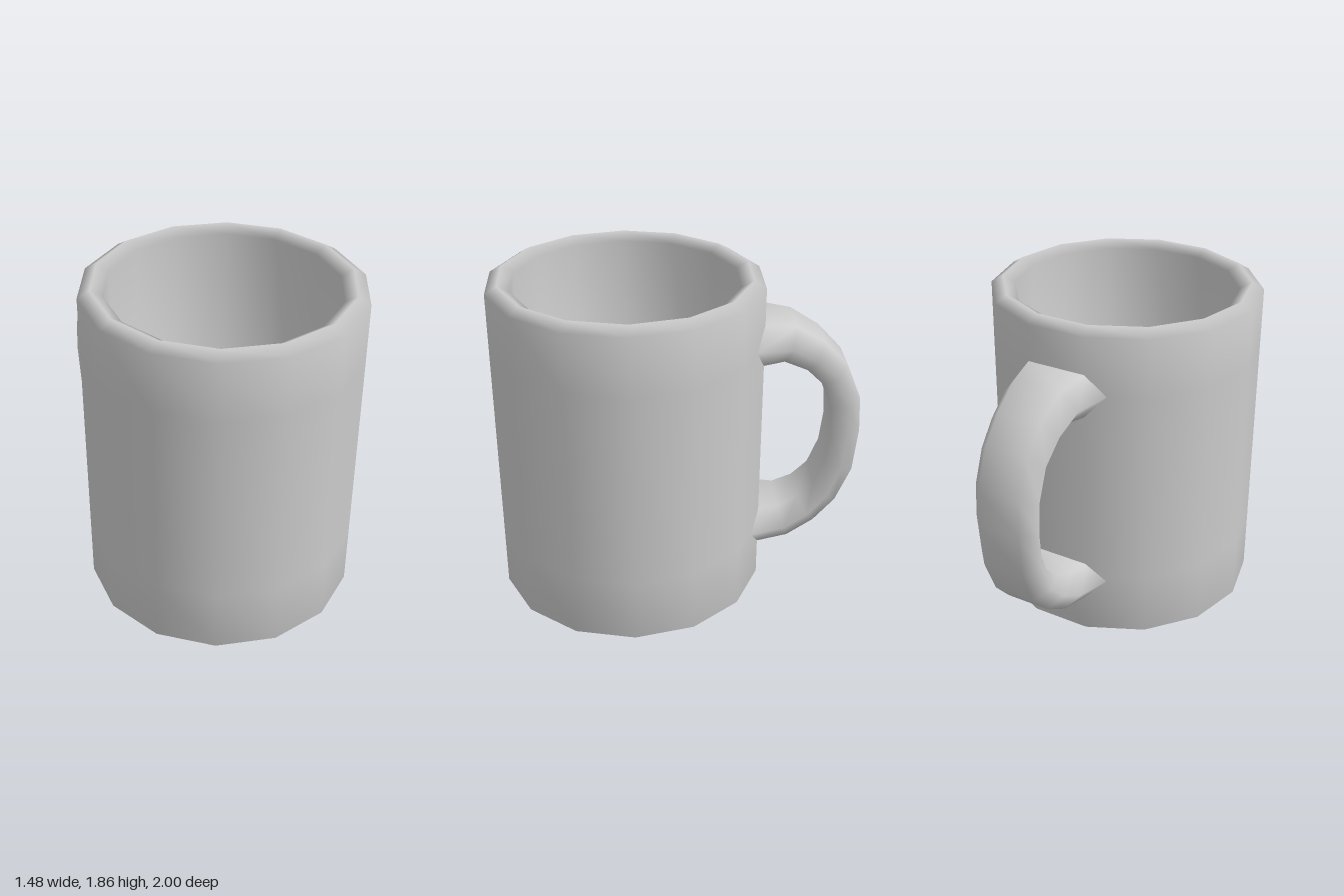
import * as THREE from 'three';

const material = new THREE.MeshStandardMaterial({ color: 0xcccccc });
const SIDES = 14;
const CENTRE_Z = 0.276;

// Cup: one closed profile from under the base, up the wall, over the rim and down inside
function createCup() {
  const profile = [
    [0, 0.06], [0.6, 0.06], [0.67, 0], [0.74, 0.05], [0.74, 0.4], [0.74, 1.5],
    [0.74, 1.82], [0.675, 1.86], [0.61, 1.82], [0.61, 0.14], [0, 0.14],
  ].map(([r, y]) => new THREE.Vector2(r, y));
  const cup = new THREE.Mesh(new THREE.LatheGeometry(profile, SIDES, Math.PI / SIDES), material);
  cup.name = 'cup';
  cup.position.z = CENTRE_Z;
  return cup;
}

// Handle: six-sided sections swept from the upper joint to the lower one
function createHandle() {
  // each station: outer z, outer y, inner z, inner y, half width
  const stations = [
    [-0.43, 1.62, -0.43, 1.38, 0.27],
    [-0.62, 1.59, -0.56, 1.39, 0.22],
    [-0.78, 1.49, -0.69, 1.33, 0.2],
    [-0.91, 1.35, -0.78, 1.24, 0.19],
    [-0.99, 1.15, -0.83, 1.1, 0.19],
    [-1.0, 0.95, -0.84, 0.94, 0.19],
    [-0.975, 0.7, -0.82, 0.77, 0.19],
    [-0.89, 0.5, -0.76, 0.62, 0.19],
    [-0.77, 0.37, -0.67, 0.53, 0.2],
    [-0.62, 0.28, -0.56, 0.48, 0.22],
    [-0.43, 0.26, -0.43, 0.48, 0.27],
  ];
  // section corners: share of half width, share of the way from outer to inner edge
  const section = [[0.62, 0], [1, 0.5], [0.62, 1], [-0.62, 1], [-1, 0.5], [-0.62, 0]];
  const n = section.length;
  const positions = [];
  const index = [];
  stations.forEach(([oz, oy, iz, iy, w], s) => {
    const isEnd = s === 0 || s === stations.length - 1;
    section.forEach(([u, t], k) => {
      // the side corners reach further in at the joints to follow the round wall
      const reach = isEnd && t === 0.5 ? 0.045 : 0;
      positions.push(u * w, THREE.MathUtils.lerp(oy, iy, t), THREE.MathUtils.lerp(oz, iz, t) + reach);
      if (s === stations.length - 1) return;
      const a = s * n + k;
      const b = s * n + (k + 1) % n;
      index.push(a, b, a + n, b, b + n, a + n);
    });
  });
  const geometry = new THREE.BufferGeometry();
  geometry.setAttribute('position', new THREE.Float32BufferAttribute(positions, 3));
  geometry.setIndex(index);
  geometry.computeVertexNormals();
  const handle = new THREE.Mesh(geometry, material);
  handle.name = 'handle';
  return handle;
}

export function createModel() {
  const mug = new THREE.Group();
  mug.name = 'mug';
  mug.add(createCup(), createHandle());
  return mug;
}
